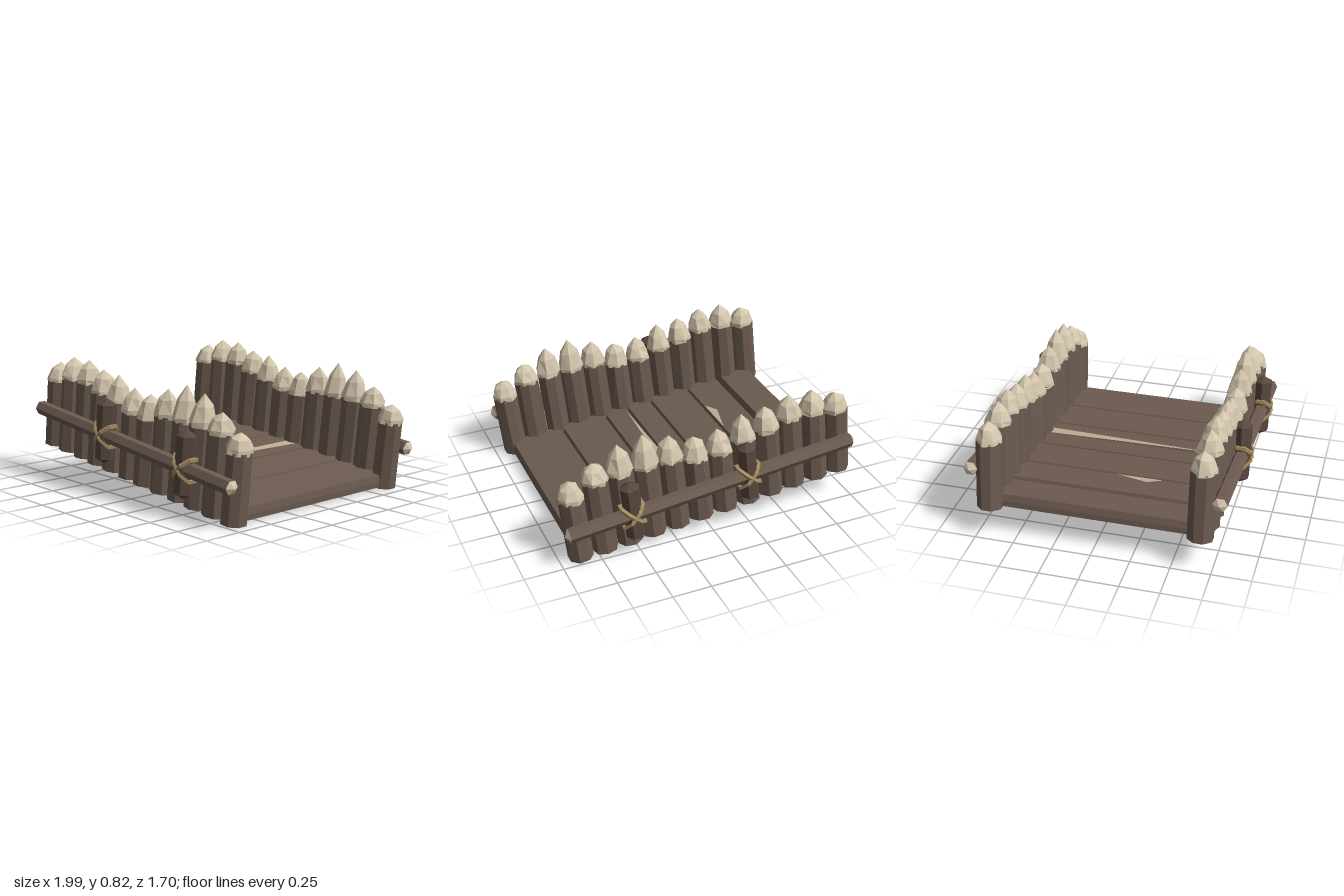
import * as THREE from 'three';

const mat = (name, color, extra = {}) => {
  const m = new THREE.MeshStandardMaterial({ color, flatShading: true, ...extra });
  m.name = name;
  return m;
};

// repeatable noise from a position and a seed, -1..1
function noise(x, y, z, seed) {
  const r = (v) => Math.round(v * 1000);
  const s = Math.sin(r(x) * 12.99 + r(y) * 78.23 + r(z) * 37.72 + seed * 4.17) * 43758.5;
  return (s - Math.floor(s)) * 2 - 1;
}

// nudges vertices so that carved pieces look uneven
function roughen(geo, seed, ax, ay) {
  const p = geo.attributes.position;
  for (let i = 0; i < p.count; i++) {
    const x = p.getX(i), y = p.getY(i), z = p.getZ(i);
    p.setXYZ(i, x + ax * noise(x, y, z, seed), y + ay * noise(x, y, z, seed + 1), z + ax * noise(x, y, z, seed + 2));
  }
  geo.computeVertexNormals();
  return geo;
}

const lathe = (pts, sides) => new THREE.LatheGeometry(pts.map(([r, y]) => new THREE.Vector2(r, y)), sides);

export function createModel() {
  const wood = mat('wood', 0x6c5b50);
  const darkWood = mat('darkWood', 0x58483f);
  const bone = mat('paleCutWood', 0xd4c6ad);
  const rope = mat('rope', 0xa58c60);
  const splinter = mat('splinter', 0xbfae95, { side: THREE.DoubleSide });

  const model = new THREE.Group();
  const ramp = new THREE.Group();
  ramp.name = 'slopedPlatform';
  ramp.position.set(-0.03, 0.11, 0);
  ramp.rotation.z = -0.107;
  model.add(ramp);

  const add = (parent, name, geo, material, x = 0, y = 0, z = 0) => {
    const m = new THREE.Mesh(geo, material);
    m.name = name;
    m.position.set(x, y, z);
    parent.add(m);
    return m;
  };

  // floor planks with bevelled upper edges
  const planks = [[-0.897, -0.668], [-0.642, -0.4], [-0.4, -0.11], [-0.11, 0.07], [0.07, 0.24], [0.24, 0.56], [0.56, 0.925]];
  for (const [a, b] of planks) {
    const s = new THREE.Shape();
    s.moveTo(a, 0.01);
    s.lineTo(b, 0.01);
    s.lineTo(b, 0.045);
    s.lineTo(b - 0.01, 0.09);
    s.lineTo(a + 0.01, 0.09);
    s.lineTo(a, 0.045);
    const geo = new THREE.ExtrudeGeometry(s, { depth: 1.26, bevelEnabled: false });
    add(ramp, 'floorPlank', geo, wood, 0, 0, -0.63);
  }

  // pale split marks lying on the floor
  for (const tri of [[[0.06, -0.6], [0.14, -0.6], [0.09, 0.56]], [[-0.412, 0.01], [-0.465, 0.22], [-0.412, 0.32]]]) {
    const s = new THREE.Shape(tri.map(([x, z]) => new THREE.Vector2(x, -z)));
    const m = add(ramp, 'splitMark', new THREE.ShapeGeometry(s), splinter, 0, 0.093, 0);
    m.rotation.x = -Math.PI / 2;
  }

  const shoulders = [0.45, 0.5, 0.51, 0.48, 0.46, 0.43, 0.44, 0.49, 0.5, 0.52, 0.51, 0.44];
  const tips = [0.575, 0.635, 0.66, 0.635, 0.625, 0.58, 0.59, 0.655, 0.725, 0.7, 0.63, 0.556];

  for (const side of [1, -1]) {
    const wall = new THREE.Group();
    wall.name = side > 0 ? 'frontWall' : 'backWall';
    ramp.add(wall);

    // palisade of logs with sharpened tops
    shoulders.forEach((h, i) => {
      const x = -0.897 + 0.163 * i, z = 0.665 * side, t = tips[i] - h;
      const log = roughen(new THREE.CylinderGeometry(0.081, 0.083, h, 8), i, 0.003, 0);
      log.rotateY(Math.PI / 8 + i * 0.5);
      add(wall, 'log', log, wood, x, h / 2, z);
      const tip = roughen(lathe([[0, -0.012], [0.084, -0.01], [0.083, 0.02], [0.056, 0.02 + t * 0.5], [0, t]], 7), i + 20, 0.005, 0.007);
      tip.rotateY(i * 0.8);
      add(wall, 'logTip', tip, bone, x, h, z);
    });

    // long rail with pale pointed ends
    const z = 0.777 * side;
    const rail = new THREE.CylinderGeometry(0.047, 0.047, 1.91, 6);
    rail.rotateZ(Math.PI / 2);
    add(wall, 'rail', rail, wood, 0.017, 0.259, z);
    for (const end of [1, -1]) {
      const cap = new THREE.ConeGeometry(0.047, 0.028, 6);
      cap.rotateZ(-end * Math.PI / 2);
      if (end < 0) cap.rotateX(Math.PI);
      add(wall, 'railEnd', cap, bone, 0.017 + end * 0.969, 0.259, z);
    }

    // short posts lashed to the rail with crossed rope loops
    for (const x of [-0.218, 0.56]) {
      const post = lathe([[0, 0.066], [0.06, 0.105], [0.062, 0.46], [0, 0.498]], 6);
      post.rotateY(Math.PI / 6);
      add(wall, 'post', post, darkWood, x, 0, z);
      for (const turn of [1, -1]) {
        const loop = new THREE.TorusGeometry(0.1, 0.015, 4, 8);
        loop.rotateZ(Math.PI / 8);
        loop.scale(1.02, 0.7, 1);
        loop.rotateX(Math.PI / 2);
        const m = add(wall, 'ropeLoop', loop, rope, x + 0.004, 0.262, z);
        m.rotation.z = turn * Math.PI / 4;
      }
    }
  }
  return model;
}
